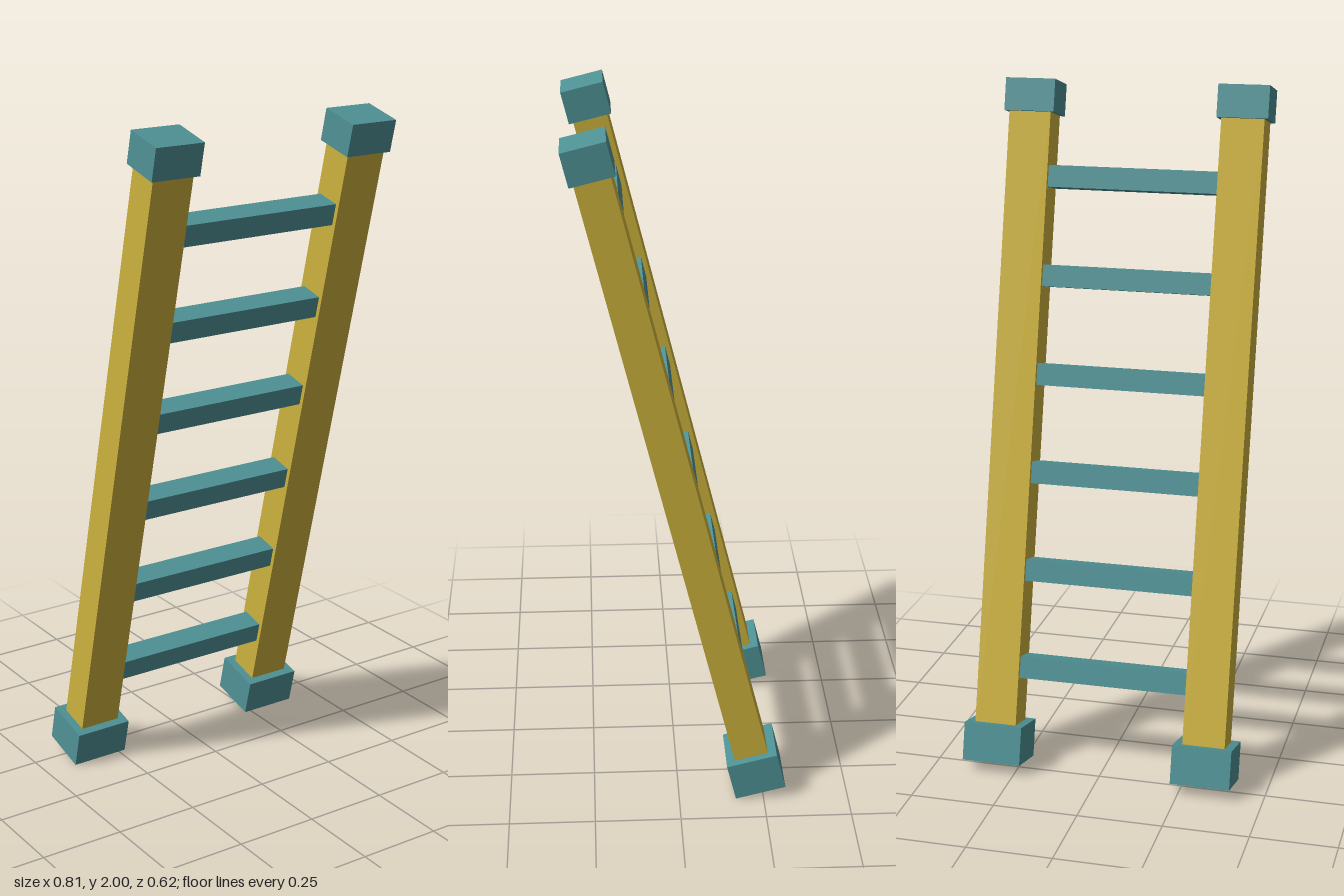
import * as THREE from 'three';

export function createModel() {
  const teal = new THREE.MeshStandardMaterial({ color: 0x4f9296 });
  teal.name = 'teal';
  const yellow = new THREE.MeshStandardMaterial({ color: 0xcdb23d });
  yellow.name = 'yellow';

  // The ladder is built upright around its middle, then leaned forward.
  const ladder = new THREE.Group();
  ladder.name = 'ladder';
  const box = (name, material, size, x, y) => {
    const mesh = new THREE.Mesh(new THREE.BoxGeometry(...size), material);
    mesh.name = name;
    mesh.position.set(x, y, 0);
    ladder.add(mesh);
  };

  // Rails with their feet and end caps
  const bottom = -0.94, top = 0.982;
  for (const [side, sign] of [['left', 1], ['right', -1]]) {
    const x = 0.317 * sign;
    box(`${side}Rail`, yellow, [0.126, top - bottom, 0.1], x, (top + bottom) / 2);
    box(`${side}Foot`, teal, [0.176, 0.114, 0.151], x, bottom);
    box(`${side}Cap`, teal, [0.15, 0.095, 0.125], x, top);
  }

  // Six evenly spaced rungs between the rails
  for (let i = 0; i < 6; i++) {
    box(`rung${i + 1}`, teal, [0.51, 0.064, 0.074], 0, -0.709 + i * 0.2917);
  }

  ladder.rotation.x = THREE.MathUtils.degToRad(14);
  ladder.position.y = 0.986;

  const model = new THREE.Group();
  model.name = 'leaningLadder';
  model.add(ladder);
  return model;
}
